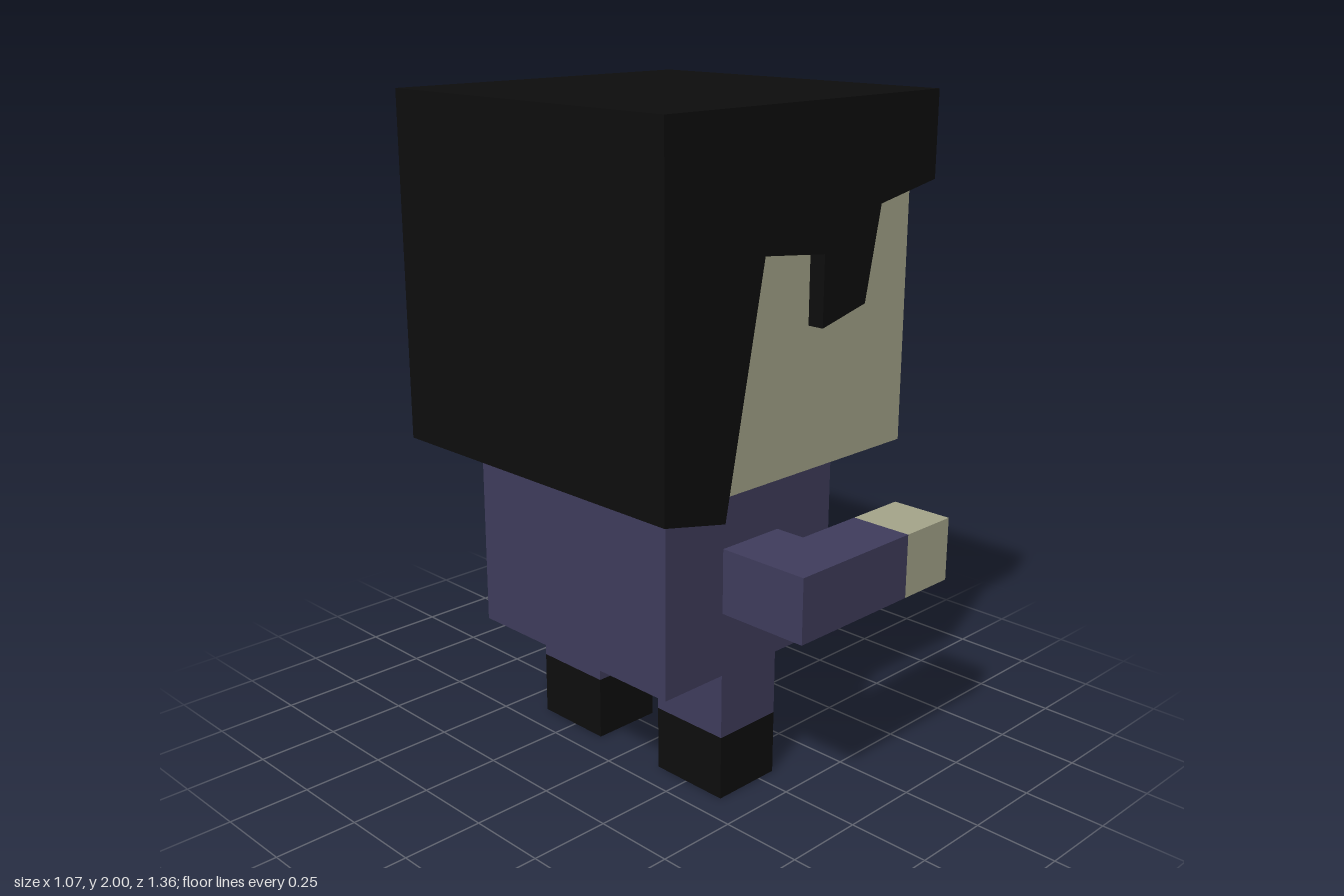
import * as THREE from 'three';

const paint = (color) => new THREE.MeshStandardMaterial({ color, flatShading: true });

export function createModel() {
  const model = new THREE.Group();
  model.name = 'blockFigure';
  const skin = paint(0xa5a58a);
  const cloth = paint(0x3f3c5c);
  const black = paint(0x0d0d0d);

  const add = (name, geometry, material, parent = model) => {
    const mesh = new THREE.Mesh(geometry, material);
    mesh.name = name;
    parent.add(mesh);
    return mesh;
  };

  // Box given by its lower and upper corners
  const box = (name, material, [x0, y0, z0], [x1, y1, z1], parent) => {
    const mesh = add(name, new THREE.BoxGeometry(x1 - x0, y1 - y0, z1 - z0), material, parent);
    mesh.position.set((x0 + x1) / 2, (y0 + y1) / 2, (z0 + z1) / 2);
    return mesh;
  };

  const extrude = (points, depth) => new THREE.ExtrudeGeometry(
    new THREE.Shape(points.map(([x, y]) => new THREE.Vector2(x, y))),
    { depth, bevelEnabled: false });

  // Torso and head; the face looks along +x
  box('torso', cloth, [-0.39, 0.395, -0.39], [0.29, 0.98, 0.39]);
  box('head', skin, [-0.485, 0.98, -0.485], [0.485, 1.9, 0.485]);

  // Hair: side profile with a fringe and one hanging lock
  const hair = add('hair', extrude([
    [-0.535, 2], [-0.535, 0.98], [-0.312, 0.933], [-0.175, 1.622],
    [0.06, 1.597], [0.06, 1.395], [0.238, 1.437], [0.295, 1.706],
    [0.535, 1.75], [0.535, 2],
  ], 1.07), black);
  hair.position.z = -0.535;

  for (const [side, s] of [['right', 1], ['left', -1]]) {
    const span = (a, b) => (s > 0 ? [a, b] : [-b, -a]);

    // Eye: short octagonal disc
    const eye = add(`${side}Eye`, new THREE.CylinderGeometry(0.097, 0.097, 0.04, 8), black);
    eye.rotation.z = -Math.PI / 2;
    eye.position.set(0.485, 1.465, s * 0.235);

    // Arm: L-shaped sleeve seen from above, with a square hand
    const arm = new THREE.Group();
    arm.name = `${side}Arm`;
    model.add(arm);
    const sleeve = add('sleeve', extrude([
      [-0.165, s * -0.39], [0.06, s * -0.39], [0.06, s * -0.487],
      [0.29, s * -0.487], [0.29, s * -0.682], [-0.165, s * -0.682],
    ], 0.195), cloth, arm);
    sleeve.rotation.x = -Math.PI / 2;
    sleeve.position.y = 0.587;
    const [h0, h1] = span(0.487, 0.682);
    box('hand', skin, [0.29, 0.587, h0], [0.485, 0.782, h1], arm);

    // Leg and shoe
    const leg = new THREE.Group();
    leg.name = `${side}Leg`;
    model.add(leg);
    const [l0, l1] = span(0.13, 0.39);
    box('trouser', cloth, [-0.165, 0.197, l0], [0.062, 0.395, l1], leg);
    box('shoe', black, [-0.165, 0, l0], [0.062, 0.197, l1], leg);
  }
  return model;
}
